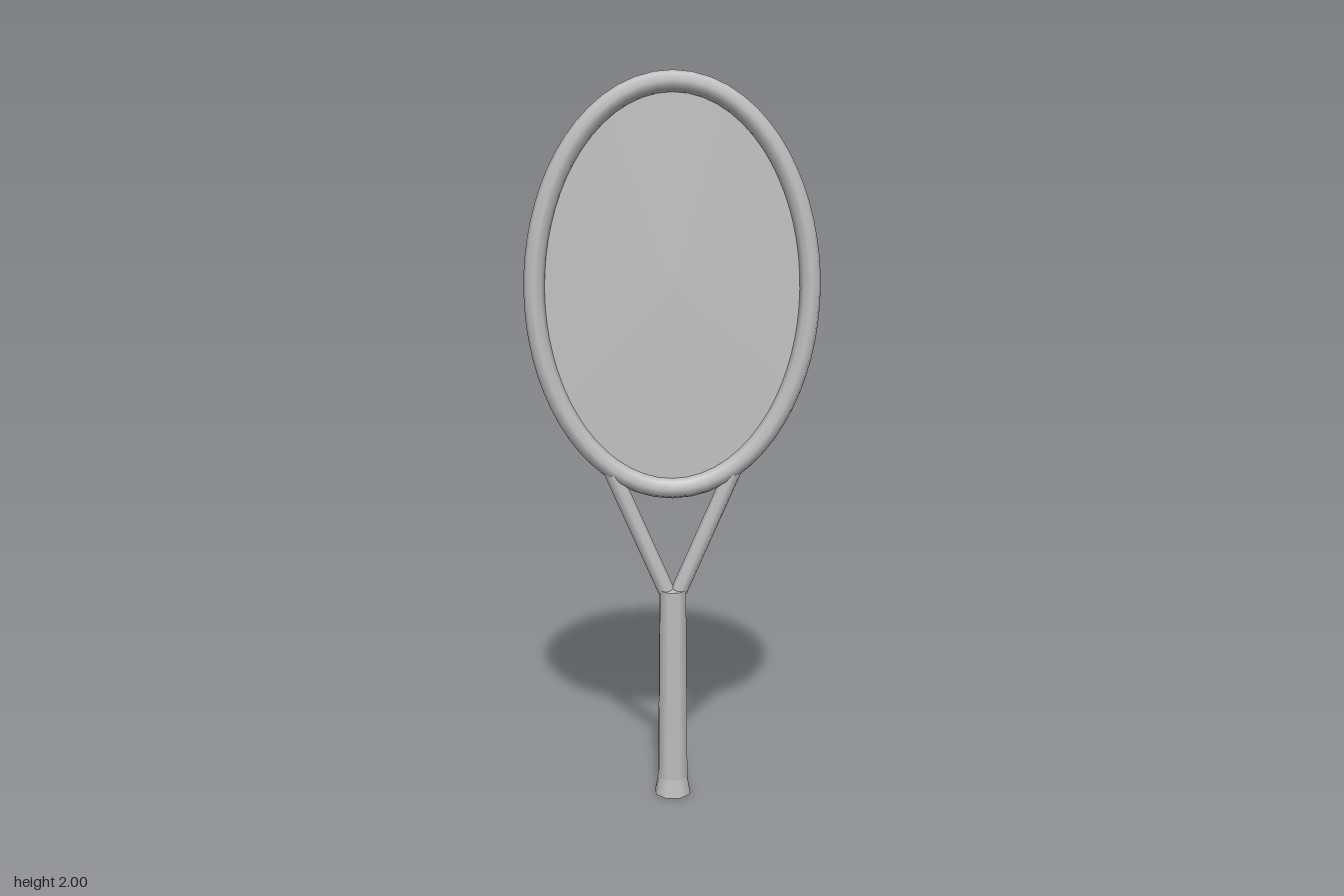
import * as THREE from 'three';

const HEAD_Y = 1.43, HEAD_RX = 0.368, HEAD_RY = 0.542, TUBE_R = 0.028;

export function createModel() {
  const group = new THREE.Group();
  const grey = new THREE.MeshStandardMaterial({ color: 0xbfbfbf });
  grey.name = 'grey';
  const greySheet = grey.clone();
  greySheet.name = 'grey sheet';
  greySheet.side = THREE.DoubleSide;

  const add = (name, geometry, material = grey) => {
    const mesh = new THREE.Mesh(geometry, material);
    mesh.name = name;
    group.add(mesh);
    return mesh;
  };

  // Oval head frame: an eight-sided tube along an ellipse
  const oval = [];
  for (let i = 0; i < 32; i++) {
    const a = (i / 32) * Math.PI * 2;
    oval.push(new THREE.Vector3(HEAD_RX * Math.cos(a), HEAD_Y + HEAD_RY * Math.sin(a), 0));
  }
  const path = new THREE.CatmullRomCurve3(oval, true);
  add('headFrame', new THREE.TubeGeometry(path, 64, TUBE_R, 8, true));

  // Flat string bed inside the frame
  const strings = add('stringBed', new THREE.CircleGeometry(1, 64), greySheet);
  strings.scale.set(HEAD_RX, HEAD_RY, 1);
  strings.position.y = HEAD_Y;

  // Two throat arms from the handle to the frame
  for (const side of [1, -1]) {
    const from = new THREE.Vector3(side * 0.018, 0.597, 0);
    const to = new THREE.Vector3(side * 0.167, 0.94, 0);
    const dir = to.clone().sub(from);
    const arm = add(side > 0 ? 'leftThroatArm' : 'rightThroatArm',
      new THREE.CylinderGeometry(0.023, 0.023, dir.length(), 8));
    arm.position.copy(from).add(to).multiplyScalar(0.5);
    arm.quaternion.setFromUnitVectors(new THREE.Vector3(0, 1, 0), dir.normalize());
  }

  // Eight-sided handle: slightly tapered grip and a flared butt
  const sections = [
    ['grip', 0.039, 0.044, 0.05, 0.6],
    ['buttFlare', 0.044, 0.053, 0, 0.05],
  ];
  for (const [name, top, bottom, y0, y1] of sections) {
    const geometry = new THREE.CylinderGeometry(top, bottom, y1 - y0, 8);
    geometry.rotateY(Math.PI / 8);
    add(name, geometry).position.y = (y0 + y1) / 2;
  }

  return group;
}
